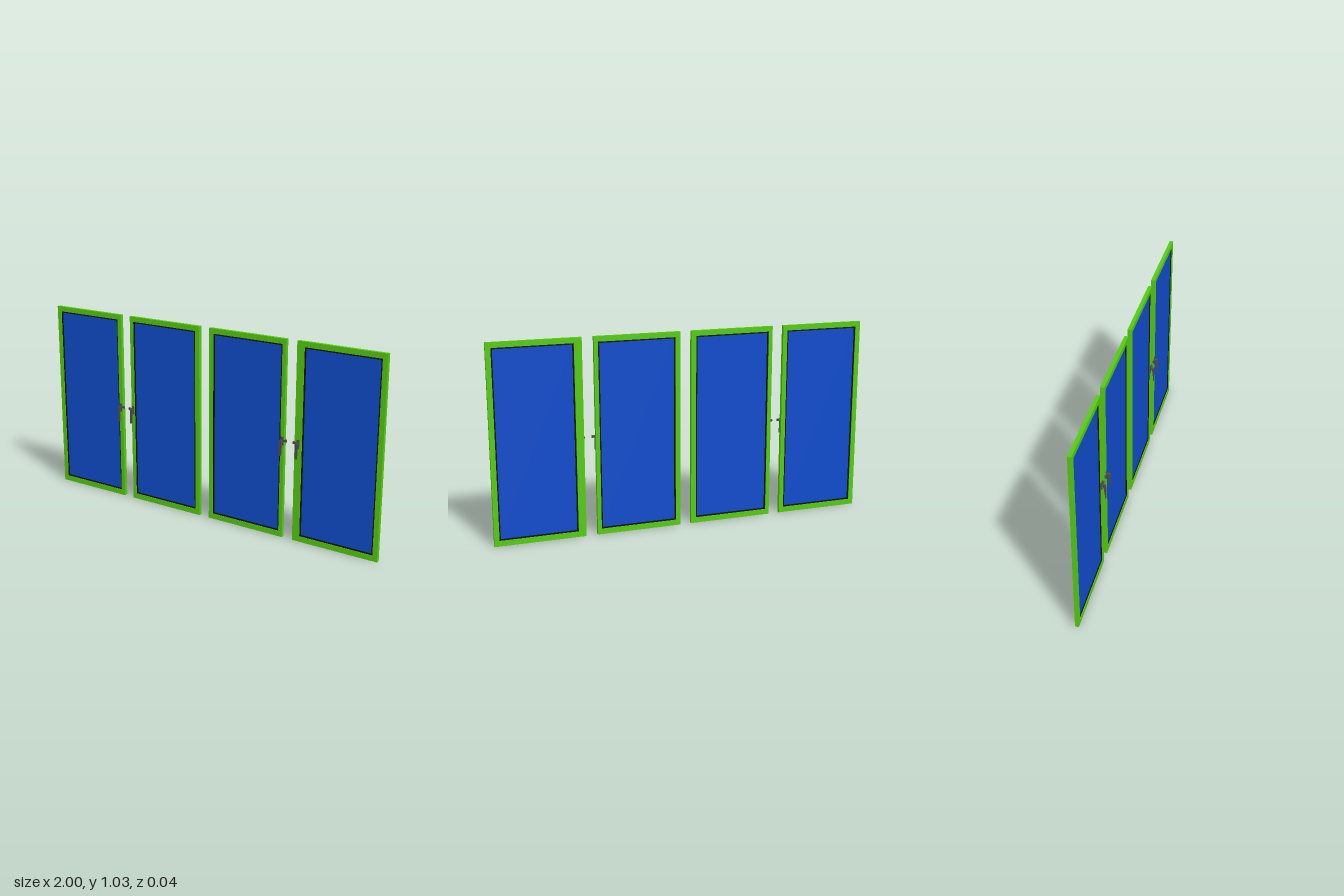
import * as THREE from 'three';

const mat = (color) => new THREE.MeshStandardMaterial({ color, flatShading: true });
const HEIGHT = 1.027, BACK = -0.019, DEPTH = 0.019;

function rectPath(Type, x0, y0, x1, y1) {
  const p = new Type();
  p.moveTo(x0, y0);
  p.lineTo(x1, y0);
  p.lineTo(x1, y1);
  p.lineTo(x0, y1);
  p.closePath();
  return p;
}

// Rectangular ring between an outer and an inner rectangle
function ring(outer, inner, z, depth) {
  const shape = rectPath(THREE.Shape, ...outer);
  shape.holes.push(rectPath(THREE.Path, ...inner));
  const geo = new THREE.ExtrudeGeometry(shape, { depth, bevelEnabled: false });
  return geo.translate(0, 0, z);
}

export function createModel() {
  const model = new THREE.Group();
  model.name = 'windowPanels';
  const green = mat(0x55cc11), blue = mat(0x104ccc);
  const black = mat(0x101010), metal = mat(0x4d4d4d);

  const add = (parent, name, geo, material) => {
    const mesh = new THREE.Mesh(geo, material);
    mesh.name = name;
    parent.add(mesh);
    return mesh;
  };
  const box = (w, h, d, x, y, z) => new THREE.BoxGeometry(w, h, d).translate(x, y, z);

  // Handle: base plate, tapered lever and latch tongue pointing to +x
  function makeHandle(x, dir) {
    const handle = new THREE.Group();
    handle.name = 'handle';
    add(handle, 'basePlate', box(0.014, 0.045, 0.004, 0, 0.512, 0.001), metal);
    const side = new THREE.Shape([
      [-0.001, 0.52], [-0.001, 0.502], [0.004, 0.502], [0.009, 0.512],
      [0.013, 0.497], [0.019, 0.44], [0.021, 0.44], [0.021, 0.52],
    ].map(([z, y]) => new THREE.Vector2(z, y)));
    const lever = new THREE.ExtrudeGeometry(side, { depth: 0.014, bevelEnabled: false });
    lever.translate(0, 0, -0.007).rotateY(-Math.PI / 2);
    add(handle, 'lever', lever, metal);
    add(handle, 'tongue', box(0.034, 0.01, 0.005, 0.01, 0.517, 0.0045), metal);
    add(handle, 'tongueTip', box(0.009, 0.012, 0.009, 0.0225, 0.517, 0.0025), metal);
    handle.position.x = x;
    if (dir < 0) handle.rotation.y = 0;
    handle.traverse((o) => {
      // Mirror tongue parts toward the neighbouring panel
      if (dir < 0 && o.name.startsWith('tongue')) o.position.x = o.name === 'tongue' ? -0.02 : -0.045;
    });
    return handle;
  }

  // Outer edges, inner edges, handle position and tongue direction
  const panels = [
    { x0: -1, x1: -0.549, g0: -0.974, g1: -0.573, hx: -0.562, dir: 1 },
    { x0: -0.488, x1: -0.039, g0: -0.467, g1: -0.065, hx: -0.478, dir: -1 },
    { x0: 0.021, x1: 0.47, g0: 0.046, g1: 0.449, hx: 0.46, dir: 1 },
    { x0: 0.53, x1: 1, g0: 0.57, g1: 0.974, hx: 0.55, dir: -1 },
  ];
  const y0 = 0.029, y1 = 1.0, seal = 0.007;

  for (const p of panels) {
    const panel = new THREE.Group();
    panel.name = 'panel';
    const opening = [p.g0, y0, p.g1, y1];
    const pane = [p.g0 + seal, y0 + seal, p.g1 - seal, y1 - seal];
    add(panel, 'frame', ring([p.x0, 0, p.x1, HEIGHT], opening, BACK, DEPTH), green);
    add(panel, 'seal', ring(opening, pane, BACK + 0.003, DEPTH - 0.006), black);
    add(panel, 'glass', box(pane[2] - pane[0], pane[3] - pane[1], 0.005,
      (pane[0] + pane[2]) / 2, (pane[1] + pane[3]) / 2, BACK + DEPTH / 2), blue);
    panel.add(makeHandle(p.hx, p.dir));
    model.add(panel);
  }
  return model;
}
